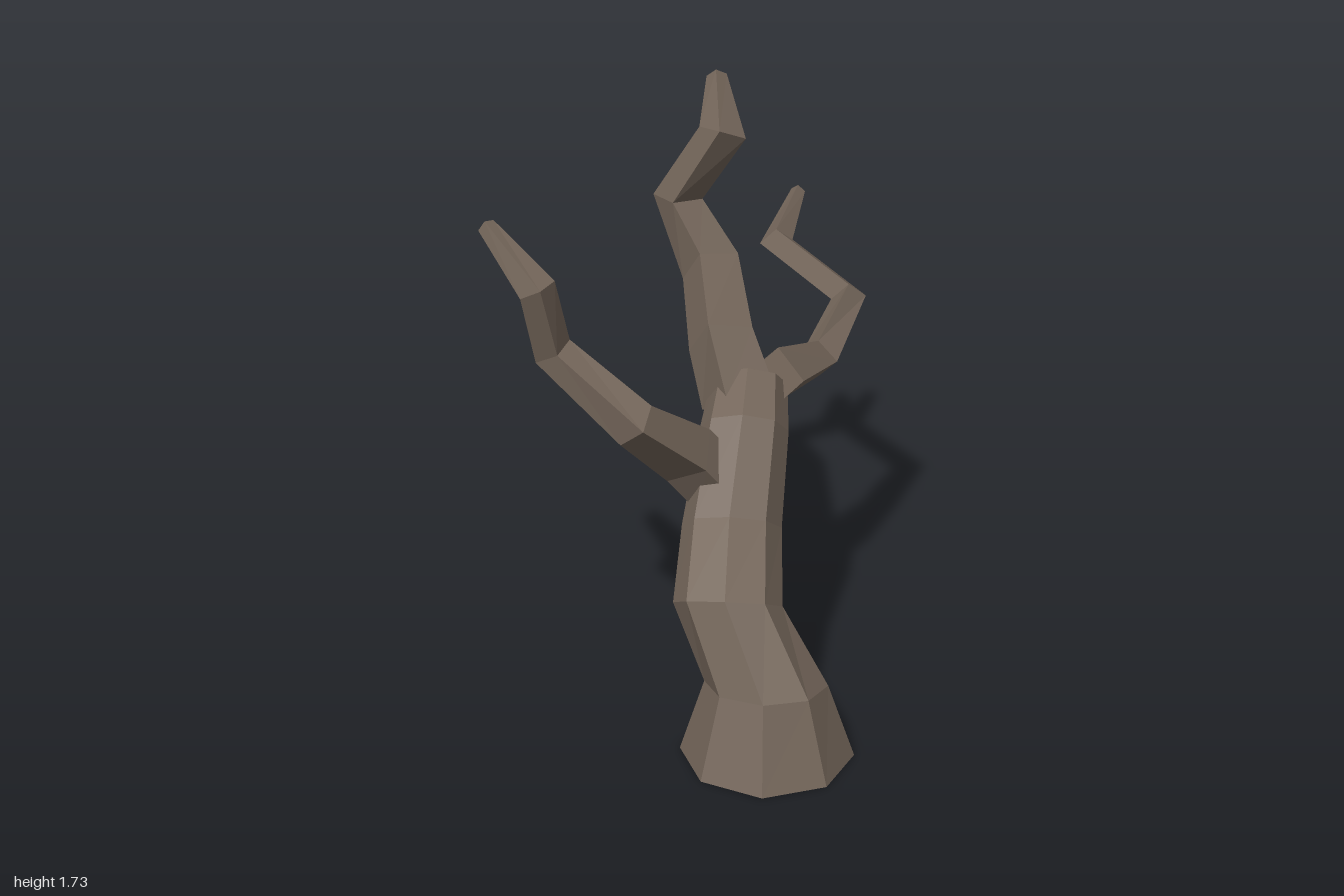
import * as THREE from 'three';

const bark = new THREE.MeshStandardMaterial({ color: 0x74665a, flatShading: true, side: THREE.DoubleSide });
bark.name = 'bark brown';

// Faceted limb through knots [x, y, z, radius]; rings lie on the bisecting planes
// of the bends unless a list of ring normals is given.
function limb(name, knots, sides, ref, phase = 0, normals = null) {
  const pts = knots.map((k) => new THREE.Vector3(k[0], k[1], k[2]));
  const pos = [];
  const index = [];
  const u = new THREE.Vector3(...ref);
  const last = pts.length - 1;
  pts.forEach((p, i) => {
    const t = new THREE.Vector3();
    if (normals) {
      t.set(...normals[i]);
    } else {
      if (i > 0) t.add(p.clone().sub(pts[i - 1]).normalize());
      if (i < last) t.add(pts[i + 1].clone().sub(p).normalize());
    }
    t.normalize();
    u.addScaledVector(t, -u.dot(t)).normalize();
    const v = t.clone().cross(u);
    for (let s = 0; s < sides; s++) {
      const a = phase + (s / sides) * Math.PI * 2;
      const q = p.clone()
        .addScaledVector(u, Math.cos(a) * knots[i][3])
        .addScaledVector(v, Math.sin(a) * knots[i][3]);
      pos.push(q.x, q.y, q.z);
      if (i < last) {
        const n = (s + 1) % sides;
        const b = i * sides;
        index.push(b + s, b + n, b + sides + n, b + s, b + sides + n, b + sides + s);
      }
    }
  });
  // End cap
  for (let s = 1; s < sides - 1; s++) index.push(last * sides, last * sides + s, last * sides + s + 1);
  const indexed = new THREE.BufferGeometry();
  indexed.setAttribute('position', new THREE.Float32BufferAttribute(pos, 3));
  indexed.setIndex(index);
  const geo = indexed.toNonIndexed();
  geo.computeVertexNormals();
  const mesh = new THREE.Mesh(geo, bark);
  mesh.name = name;
  return mesh;
}

export function createModel() {
  const tree = new THREE.Group();
  tree.name = 'bareTree';

  // Leaning trunk, open underneath; its rings tilt only front to back
  tree.add(limb('trunk', [
    [0.30, 0, 0.74, 0.26],
    [0.295, 0.23, 0.735, 0.183],
    [0.175, 0.445, 0.655, 0.162],
    [0.172, 0.595, 0.44, 0.15],
    [0.195, 0.82, 0.235, 0.135],
    [0.2, 0.91, 0.085, 0.118],
  ], 8, [0, 0, 1], 0, [
    [0, 1, 0], [0, 0.987, -0.16], [0, 0.86, -0.51],
    [0, 0.8, -0.6], [0, 0.72, -0.69], [0, 0.7, -0.71],
  ]));

  // Side branch reaching to the front right
  tree.add(limb('rightBranch', [
    [0.14, 0.67, 0.35, 0.1],
    [0.04, 0.81, 0.41, 0.1],
    [-0.1, 0.98, 0.58, 0.073],
    [-0.35, 1.17, 0.495, 0.06],
    [-0.38, 1.39, 0.57, 0.056],
    [-0.545, 1.53, 0.43, 0.027],
  ], 4, [0, 1, 0]));

  // Flat-topped branch continuing the trunk, then rising
  tree.add(limb('upperBranch', [
    [0.17, 0.88, 0.14, 0.12],
    [0.11, 1.04, 0.055, 0.106],
    [0.05, 1.125, -0.34, 0.098],
    [-0.06, 1.33, -0.415, 0.08],
    [0.085, 1.565, -0.36, 0.076],
    [0.055, 1.705, -0.515, 0.032],
  ], 4, [0, 1, 0], Math.PI / 4));

  // Low zigzag branch at the back left
  tree.add(limb('backBranch', [
    [0.22, 0.89, 0.14, 0.09],
    [0.285, 0.91, 0.02, 0.092],
    [0.405, 0.86, -0.24, 0.063],
    [0.49, 0.975, -0.48, 0.057],
    [0.24, 1.05, -0.775, 0.055],
    [0.303, 1.16, -0.985, 0.024],
  ], 4, [0, 1, 0]));

  return tree;
}
